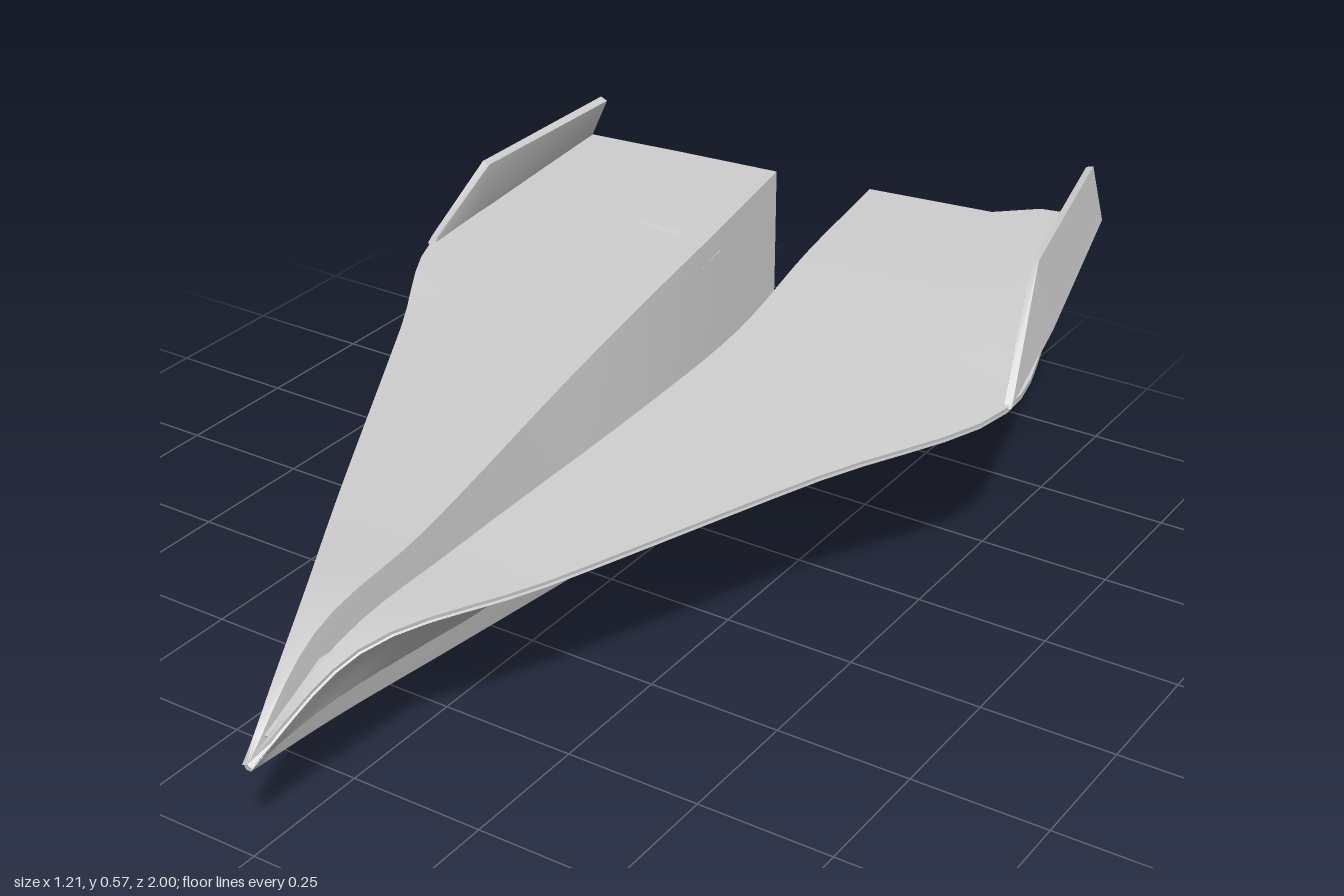
import * as THREE from 'three';
import { toCreasedNormals } from 'three/addons/utils/BufferGeometryUtils.js';

const material = new THREE.MeshStandardMaterial({ color: 0xcccccc });
const line = (...pts) => pts.map((p) => new THREE.Vector3(...p));
const between = (a, b, t) => a.map((p, i) => p.clone().lerp(b[i], t));
const smooth = (columns) => columns.map((c) => new THREE.CatmullRomCurve3(c).getPoints((c.length - 1) * 5));

// Closed paper sheet of even thickness through a list of lengthwise fold lines
function sheet(name, columns, thickness = 0.012) {
  const nc = columns.length, nr = columns[0].length;
  const at = (r, c) => columns[c][r];
  const direction = (prev, here, next) => {
    const d = new THREE.Vector3();
    if (prev) d.add(here.clone().sub(prev).normalize());
    if (next) d.add(next.clone().sub(here).normalize());
    return d.normalize();
  };
  const upper = [], lower = [];
  for (let r = 0; r < nr; r++) {
    for (let c = 0; c < nc; c++) {
      const p = at(r, c);
      const across = direction(c > 0 && at(r, c - 1), p, c < nc - 1 && at(r, c + 1));
      const along = direction(r > 0 && at(r - 1, c), p, r < nr - 1 && at(r + 1, c));
      const n = across.cross(along).normalize().multiplyScalar(thickness / 2);
      upper.push(p.clone().add(n));
      lower.push(p.clone().sub(n));
    }
  }
  const pos = [];
  const quad = (a, b, c, d) => [a, b, c, a, c, d].forEach((v) => pos.push(v.x, v.y, v.z));
  for (let r = 0; r < nr - 1; r++) {
    for (let c = 0; c < nc - 1; c++) {
      const a = r * nc + c, b = a + 1, d = a + nc, e = d + 1;
      quad(upper[a], upper[b], upper[e], upper[d]);
      quad(lower[a], lower[d], lower[e], lower[b]);
    }
  }
  // rim around the sheet
  const rim = [];
  for (let c = 0; c < nc - 1; c++) rim.push(c);
  for (let r = 0; r < nr - 1; r++) rim.push(r * nc + nc - 1);
  for (let c = nc - 1; c > 0; c--) rim.push((nr - 1) * nc + c);
  for (let r = nr - 1; r > 0; r--) rim.push(r * nc);
  rim.forEach((a, i) => {
    const b = rim[(i + 1) % rim.length];
    quad(upper[a], lower[a], lower[b], upper[b]);
  });
  const geometry = new THREE.BufferGeometry();
  geometry.setAttribute('position', new THREE.Float32BufferAttribute(pos, 3));
  const mesh = new THREE.Mesh(toCreasedNormals(geometry, 0.6), material);
  mesh.name = name;
  return mesh;
}

export function createModel() {
  const group = new THREE.Group();
  group.name = 'paperPlane';

  // Fold lines from nose to tail
  const rightTip = line([-0.005, 0.173, 1], [-0.065, 0.295, 0.8], [-0.22, 0.325, 0.5], [-0.465, 0.385, 0],
    [-0.6, 0.42, -0.27], [-0.6, 0.445, -0.55], [-0.6, 0.465, -0.81]);
  const rightShoulder = line([-0.004, 0.171, 0.997], [-0.025, 0.296, 0.8], [-0.04, 0.328, 0.5], [-0.097, 0.38, 0],
    [-0.125, 0.412, -0.3], [-0.152, 0.44, -0.6], [-0.18, 0.462, -0.86]);
  const rightKeel = line([-0.002, 0.168, 0.997], [-0.008, 0.16, 0.8], [-0.015, 0.13, 0.5], [-0.04, 0.075, 0],
    [-0.07, 0.048, -0.3], [-0.11, 0.024, -0.6], [-0.13, 0.011, -0.765]);
  const leftKeel = line([0.002, 0.168, 0.997], [0.008, 0.16, 0.8], [0.012, 0.13, 0.5], [0.01, 0.075, 0],
    [0.005, 0.048, -0.3], [-0.008, 0.022, -0.6], [-0.015, 0.007, -0.765]);
  const leftShoulder = line([0.004, 0.171, 0.997], [0.03, 0.296, 0.8], [0.042, 0.328, 0.5], [0.075, 0.375, 0],
    [0.08, 0.402, -0.3], [0.05, 0.438, -0.6], [0.025, 0.46, -0.89]);
  const leftTip = line([0.005, 0.173, 1], [0.065, 0.295, 0.8], [0.21, 0.315, 0.5], [0.425, 0.345, 0],
    [0.598, 0.372, -0.35], [0.555, 0.415, -0.6], [0.465, 0.467, -0.995]);

  // Stepped trailing edge of the left wing
  const leftInner = between(leftShoulder, leftTip, 0.57);
  leftInner[6].set(0.27, 0.455, -0.93);
  const leftOuter = between(leftShoulder, leftTip, 0.76);
  leftOuter[6].set(0.35, 0.463, -0.98);

  // Keel walls, with a slightly hollow rear edge
  const rightWall = between(rightShoulder, rightKeel, 0.5);
  const leftWall = between(leftShoulder, leftKeel, 0.5);
  for (const wall of [rightWall, leftWall]) wall[6].z = -0.818;

  // Wings and keel folded from one sheet
  group.add(sheet('wingsAndKeel', smooth([
    rightTip, between(rightTip, rightShoulder, 0.5), rightShoulder, rightWall, rightKeel,
    leftKeel, leftWall, leftShoulder, leftInner, leftOuter, leftTip,
  ])));

  // Lower paper layers sagging from the leading edges, blending into wing and keel at both ends
  group.add(sheet('leftUnderLayer', smooth([
    between(leftShoulder, leftKeel, 0.78).slice(0, 6),
    line([0.004, 0.17, 0.99], [0.026, 0.225, 0.8], [0.04, 0.19, 0.5], [0.05, 0.19, 0], [0.06, 0.24, -0.3], [0.04, 0.37, -0.6]),
    line([0.005, 0.172, 0.99], [0.048, 0.27, 0.8], [0.1, 0.265, 0.5], [0.14, 0.27, 0], [0.16, 0.315, -0.3], [0.14, 0.432, -0.6]),
    leftTip.slice(0, 6),
  ]), 0.008));
  group.add(sheet('rightUnderLayer', smooth([
    rightTip.slice(0, 6),
    line([-0.005, 0.172, 0.99], [-0.048, 0.275, 0.8], [-0.1, 0.29, 0.5], [-0.17, 0.345, 0], [-0.2, 0.4, -0.3], [-0.21, 0.439, -0.55]),
    line([-0.004, 0.17, 0.99], [-0.026, 0.23, 0.8], [-0.042, 0.23, 0.5], [-0.085, 0.285, 0], [-0.118, 0.36, -0.3], [-0.145, 0.4, -0.59]),
    between(rightShoulder, rightKeel, 0.75).slice(0, 6),
  ]), 0.008));

  // Upturned wing tips
  group.add(sheet('rightWinglet', [
    line([-0.6, 0.42, -0.27], [-0.6, 0.432, -0.41], [-0.6, 0.465, -0.81]),
    line([-0.598, 0.435, -0.28], [-0.567, 0.55, -0.41], [-0.56, 0.556, -0.81]),
  ], 0.016));
  group.add(sheet('leftWinglet', [
    line([0.598, 0.375, -0.35], [0.555, 0.415, -0.6], [0.465, 0.467, -0.995]),
    line([0.594, 0.39, -0.365], [0.525, 0.553, -0.58], [0.437, 0.572, -0.995]),
  ], 0.014));

  // Closed layers filling the front of the centre fold
  group.add(sheet('noseFold', [
    line([-0.006, 0.195, 0.95], [-0.019, 0.25, 0.8], [-0.027, 0.23, 0.5], [-0.036, 0.13, 0.2]),
    line([0.006, 0.195, 0.95], [0.021, 0.25, 0.8], [0.027, 0.23, 0.5], [0.02, 0.13, 0.2]),
  ]));
  return group;
}
